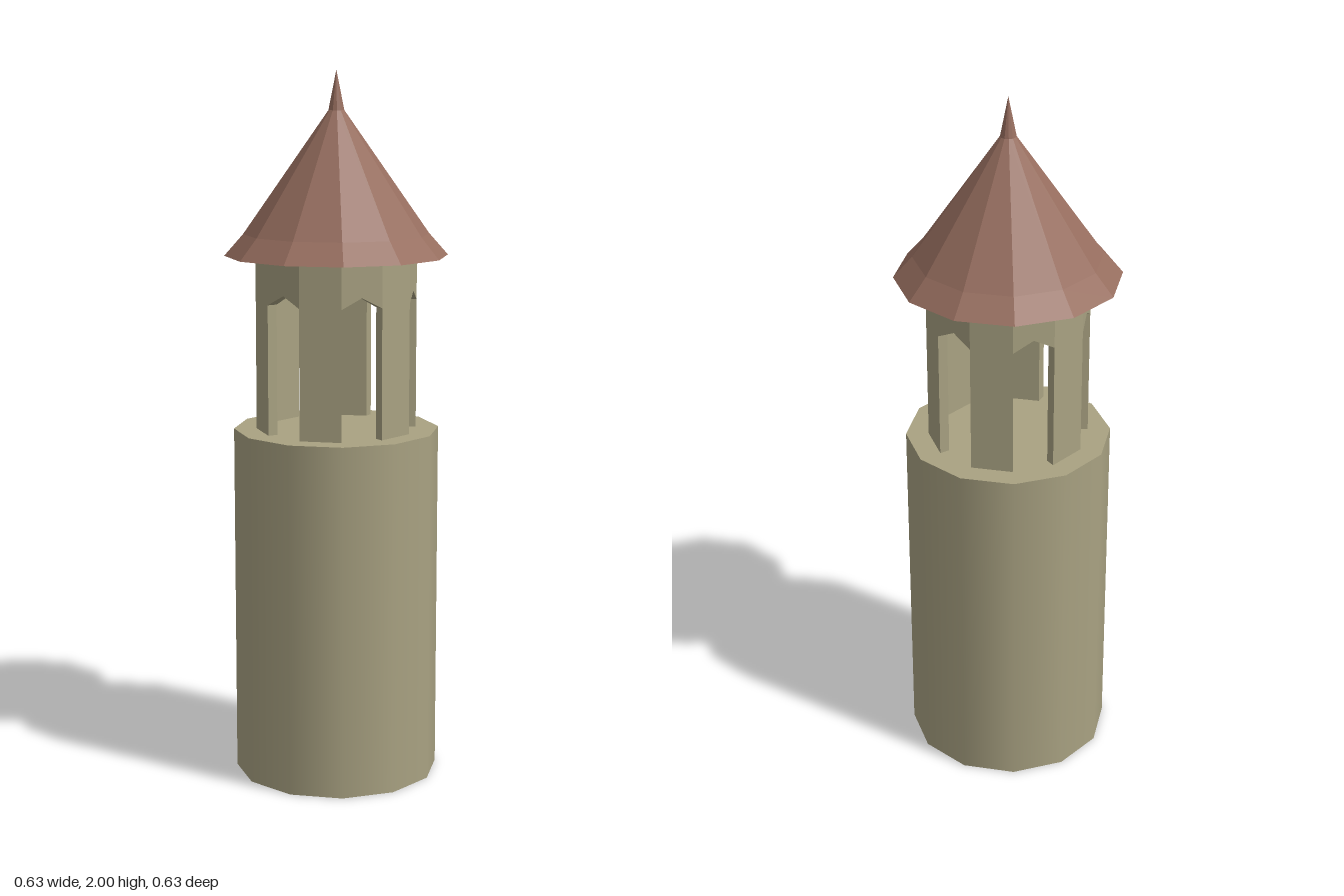
import * as THREE from 'three';

const SIDES = 12;
const STEP = (Math.PI * 2) / SIDES;

const stone = new THREE.MeshStandardMaterial({ color: 0xa9a282 });
stone.name = 'stone';
const tile = new THREE.MeshStandardMaterial({ color: 0x976e5f, side: THREE.DoubleSide });
tile.name = 'roofTile';

function addMesh(parent, name, geometry, material) {
  const mesh = new THREE.Mesh(geometry, material);
  mesh.name = name;
  parent.add(mesh);
  return mesh;
}

// Gives every face its own normal
function faceted(geometry) {
  const flat = geometry.index ? geometry.toNonIndexed() : geometry;
  flat.computeVertexNormals();
  return flat;
}

// Wall block filling one side of the lantern: outline in (0..1 across, height),
// bent into the wedge between the inner and outer radius
function wallBlock(outline, side, inner, outer) {
  const shape = new THREE.Shape(outline.map(([u, y]) => new THREE.Vector2(u, y)));
  const geometry = new THREE.ExtrudeGeometry(shape, { depth: 1, bevelEnabled: false });
  const pos = geometry.attributes.position;
  const a = side * STEP, b = a + STEP;
  for (let i = 0; i < pos.count; i++) {
    const u = pos.getX(i);
    const r = inner + (outer - inner) * pos.getZ(i);
    pos.setXYZ(
      i,
      r * (Math.sin(a) * (1 - u) + Math.sin(b) * u),
      pos.getY(i),
      r * (Math.cos(a) * (1 - u) + Math.cos(b) * u)
    );
  }
  return faceted(geometry);
}

export function createModel() {
  const model = new THREE.Group();
  model.name = 'roundTower';

  // Tower shaft with smooth sides
  const shaft = new THREE.CylinderGeometry(0.29, 0.29, 1, SIDES);
  addMesh(model, 'shaft', shaft, stone).position.y = 0.5;

  // Lantern: solid piers alternating with pointed openings
  const lantern = new THREE.Group();
  lantern.name = 'lantern';
  model.add(lantern);
  const pier = [[0, 1], [1, 1], [1, 1.495], [0, 1.495]];
  const lintel = [[0, 1.365], [0.5, 1.395], [1, 1.365], [1, 1.495], [0, 1.495]];
  for (let side = 0; side < SIDES; side++) {
    const open = side % 2 === 0;
    addMesh(lantern, open ? 'archLintel' : 'pier',
      wallBlock(open ? lintel : pier, side, 0.197, 0.226), stone);
  }

  // Hollow roof with flat eaves, flared rim and a thin spire
  const profile = [[0.21, 1.49], [0.313, 1.49], [0.26, 1.55], [0.022, 1.89], [0, 2]]
    .map(([r, y]) => new THREE.Vector2(r, y));
  addMesh(model, 'roof', faceted(new THREE.LatheGeometry(profile, SIDES)), tile);

  return model;
}
